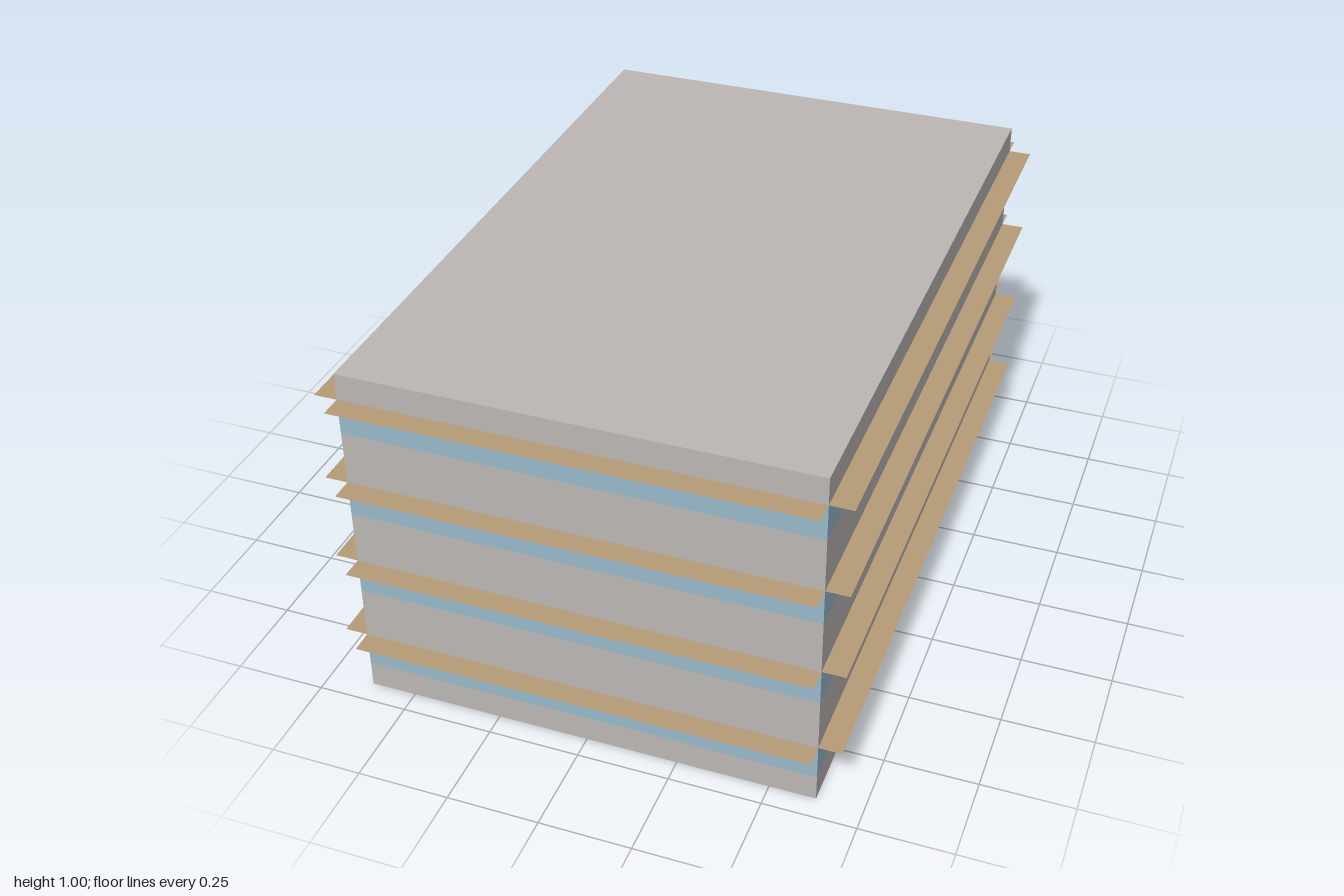
import * as THREE from 'three';

const W = 1.25, D = 1.875, H = 1; // block size
const FLOORS = 4, LEDGE = 0.0625;

export function createModel() {
  const model = new THREE.Group();
  const mat = (name, color) => {
    const m = new THREE.MeshStandardMaterial({ color, side: THREE.DoubleSide });
    m.name = name;
    return m;
  };
  const concrete = mat('concrete', 0xbcb7b5);
  const glass = mat('glass', 0x98b9cb);
  const ledgeTan = mat('ledgeTan', 0xb69b77);

  const sheet = (name, w, h, material, parent) => {
    const mesh = new THREE.Mesh(new THREE.PlaneGeometry(w, h), material);
    mesh.name = name;
    parent.add(mesh);
    return mesh;
  };

  // Flat roof; the shell is hollow and open underneath
  const roof = sheet('roof', W, D, concrete, model);
  roof.rotation.x = -Math.PI / 2;
  roof.position.y = H;

  // Bands from the ground up: wall, then window and wall for each floor
  const bands = [];
  let y = 0;
  for (let i = 0; i < FLOORS; i++) {
    const base = (i * H) / FLOORS;
    bands.push(['wallBand', y, base + 0.075, concrete]);
    bands.push(['windowBand', base + 0.075, base + 0.175, glass]);
    y = base + 0.175;
  }
  bands.push(['wallBand', y, H, concrete]);

  // Four sides, each with its bands and a thin ledge over every window band
  ['front', 'left', 'back', 'right'].forEach((name, i) => {
    const width = i % 2 ? D : W;
    const out = (i % 2 ? W : D) / 2;
    const side = new THREE.Group();
    side.name = name + 'Side';
    side.rotation.y = (i * Math.PI) / 2;
    for (const [part, y0, y1, material] of bands) {
      sheet(part, width, y1 - y0, material, side).position.set(0, (y0 + y1) / 2, out);
      if (material === glass) {
        const ledge = sheet('ledge', width, LEDGE, ledgeTan, side);
        ledge.rotation.x = -Math.PI / 2;
        ledge.position.set(0, y1, out + LEDGE / 2);
      }
    }
    model.add(side);
  });
  return model;
}
